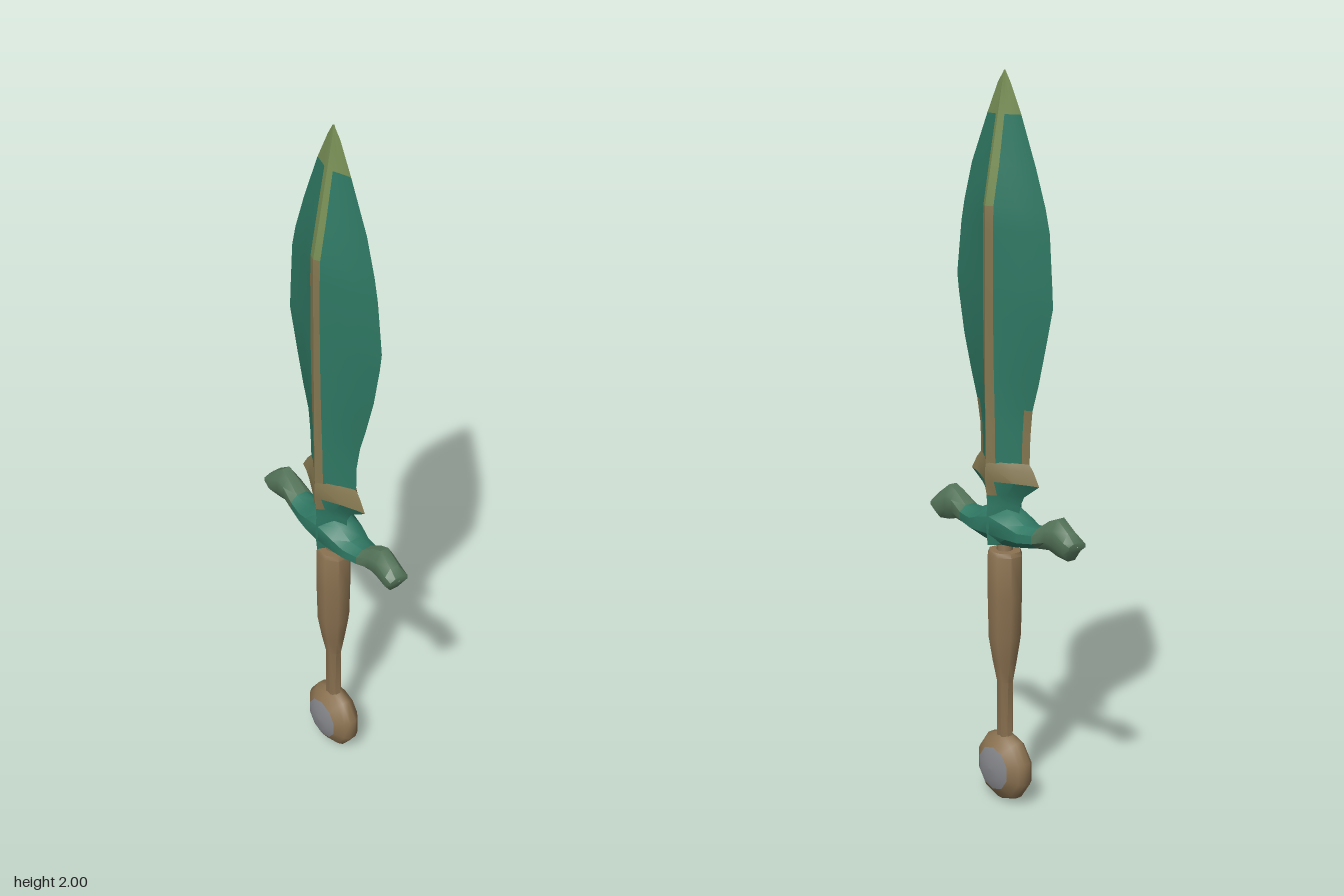
import * as THREE from 'three';
import { toCreasedNormals } from 'three/addons/utils/BufferGeometryUtils.js';

const mat = (name, color) => {
  const m = new THREE.MeshStandardMaterial({ color });
  m.name = name;
  return m;
};

// Skin a list of closed rings; pick(i, j) gives the material index of a quad.
function loft(rings, pick = () => 0, crease = 0.5) {
  const buckets = [];
  const n = rings[0].length;
  for (let i = 0; i < rings.length - 1; i++) {
    for (let j = 0; j < n; j++) {
      const k = (j + 1) % n;
      const [a, b, c, d] = [rings[i][j], rings[i][k], rings[i + 1][k], rings[i + 1][j]];
      (buckets[pick(i, j)] ??= []).push(...a, ...d, ...c, ...a, ...c, ...b);
    }
  }
  const geo = new THREE.BufferGeometry();
  const pos = [];
  buckets.forEach((list, m) => {
    geo.addGroup(pos.length / 3, list.length / 3, m);
    pos.push(...list);
  });
  geo.setAttribute('position', new THREE.Float32BufferAttribute(pos, 3));
  return toCreasedNormals(geo, crease);
}

// Hollow-ground diamond section with a narrow strip on each ridge.
function diamondRing(y, xl, xr, z) {
  const side = (x, s) => {
    const w = Math.min(0.02, x * 0.25), mid = 0.5 * x;
    const zw = z * (1 - 0.56 * w / mid);
    return [[s * x, y, 0], [s * x * 0.8, y, z * 0.15], [s * mid, y, z * 0.44], [s * w, y, zw]];
  };
  const front = [...side(xr, 1), [0.003, y, z], ...side(xl, -1).reverse()];
  const back = front.slice(1, -1).reverse().map(([x, yy, zz]) => [x, yy, -zz]);
  return [...front, ...back];
}

// Eight-sided oval section in the horizontal plane.
function ovalRing(y, rx, rz) {
  return Array.from({ length: 8 }, (_, j) => {
    const a = (j + 0.5) * Math.PI / 4;
    return [Math.cos(a) * rx * 1.06, y, Math.sin(a) * rz * 1.06];
  });
}

export function createModel() {
  const group = new THREE.Group();
  const teal = mat('teal metal', 0x2f7863);
  const ridge = mat('worn bronze', 0x83764f);
  const olive = mat('olive tip', 0x788f56);
  const aged = mat('aged green', 0x547459);
  const tan = mat('tan grip', 0x8a7150);
  const grey = mat('grey inlay', 0x85868a);

  const add = (name, geo, material) => {
    const mesh = new THREE.Mesh(geo, material);
    mesh.name = name;
    group.add(mesh);
    return mesh;
  };
  const ridgeCols = [3, 4, 11, 12];

  // Leaf-shaped blade: y, left half width, right half width, half depth
  const blade = [
    [0.96, 0.1, 0.1, 0.064], [1.06, 0.104, 0.102, 0.065], [1.13, 0.112, 0.116, 0.065],
    [1.2, 0.135, 0.14, 0.065], [1.3, 0.162, 0.17, 0.065], [1.41, 0.19, 0.192, 0.065],
    [1.46, 0.187, 0.199, 0.065], [1.6, 0.176, 0.18, 0.065], [1.66, 0.16, 0.166, 0.064],
    [1.76, 0.122, 0.134, 0.045], [1.89, 0.065, 0.07, 0.021], [1.97, 0.022, 0.027, 0.006],
    [2.0, 0.002, 0.002, 0.001],
  ];
  add('blade', loft(blade.map((s) => diamondRing(...s)), (i, j) => {
    const y = blade[i][0];
    if (y > 1.85) return 2;
    if (ridgeCols.includes(j)) return y > 1.62 ? 2 : 1;
    return y < 1.12 && (j === 8 || j === 15) ? 1 : 0;
  }), [teal, ridge, olive]);

  // Flared collar under the blade, tapering down through the guard
  const collar = [
    [0.743, 0.01, 0.02], [0.75, 0.035, 0.058], [0.8, 0.06, 0.063], [0.86, 0.062, 0.06],
    [0.89, 0.08, 0.061], [0.93, 0.14, 0.066], [0.965, 0.118, 0.066], [0.99, 0.095, 0.062],
  ];
  add('collar', loft(collar.map(([y, x, z]) => diamondRing(y, x, x, z)),
    (i, j) => (i >= 5 || i < 1 || (i === 4 && ridgeCols.includes(j)) ? 1 : 0)), [teal, ridge]);

  // Crossguard with knobbed ends: x, bottom, top, half depth
  const half = [
    [0, 0.747, 0.865, 0.058], [0.06, 0.752, 0.842, 0.052], [0.1, 0.758, 0.82, 0.044],
    [0.15, 0.768, 0.822, 0.036], [0.195, 0.774, 0.853, 0.031], [0.225, 0.765, 0.865, 0.03],
    [0.268, 0.76, 0.835, 0.03], [0.29, 0.79, 0.812, 0.029], [0.291, 0.8, 0.802, 0.002],
  ];
  const guard = [...half.slice(1).reverse().map(([x, ...r]) => [-x, ...r]), ...half];
  const guardRings = guard.map(([x, lo, hi, z]) => Array.from({ length: 8 }, (_, j) => {
    const a = (j + 0.5) * Math.PI / 4;
    return [x, (lo + hi) / 2 + Math.cos(a) * (hi - lo) * 0.541, -Math.sin(a) * z * 1.08];
  }));
  add('crossguard', loft(guardRings, (i, j) => {
    const x = Math.abs(guard[i][0] + guard[i + 1][0]) / 2;
    if (x > 0.17) return 2;
    return j === 3 ? 1 : 0;
  }, 0.8), [teal, ridge, aged]);

  // Thin tang joining guard and grip
  const tang = add('tang', new THREE.CylinderGeometry(0.02, 0.024, 0.05, 8), tan);
  tang.position.y = 0.735;

  // Tapered grip
  const grip = [
    [0.17, 0.032, 0.016], [0.2, 0.022, 0.022], [0.35, 0.025, 0.02], [0.41, 0.035, 0.032],
    [0.48, 0.046, 0.043], [0.6, 0.05, 0.045], [0.715, 0.05, 0.045], [0.727, 0.045, 0.04],
    [0.728, 0.002, 0.002],
  ];
  add('grip', loft(grip.map((s) => ovalRing(...s)), () => 0, 0.9), [tan]);

  // Disc pommel with a grey inlay on both faces
  const lathe = (pts) => {
    const g = new THREE.LatheGeometry(pts.map(([r, z]) => new THREE.Vector2(r, z)), 10);
    return g.rotateX(Math.PI / 2);
  };
  const pommel = add('pommel', lathe([
    [0.062, -0.043], [0.09, -0.024], [0.1, -0.01], [0.1, 0.01], [0.09, 0.024], [0.062, 0.043],
  ]), tan);
  pommel.position.y = 0.1;
  for (const s of [1, -1]) {
    const inlay = add(s > 0 ? 'frontInlay' : 'backInlay', lathe([[0.062, 0.043], [0.035, 0.053], [0, 0.055]]), grey);
    inlay.position.y = 0.1;
    if (s < 0) inlay.rotation.y = Math.PI;
  }
  return group;
}
